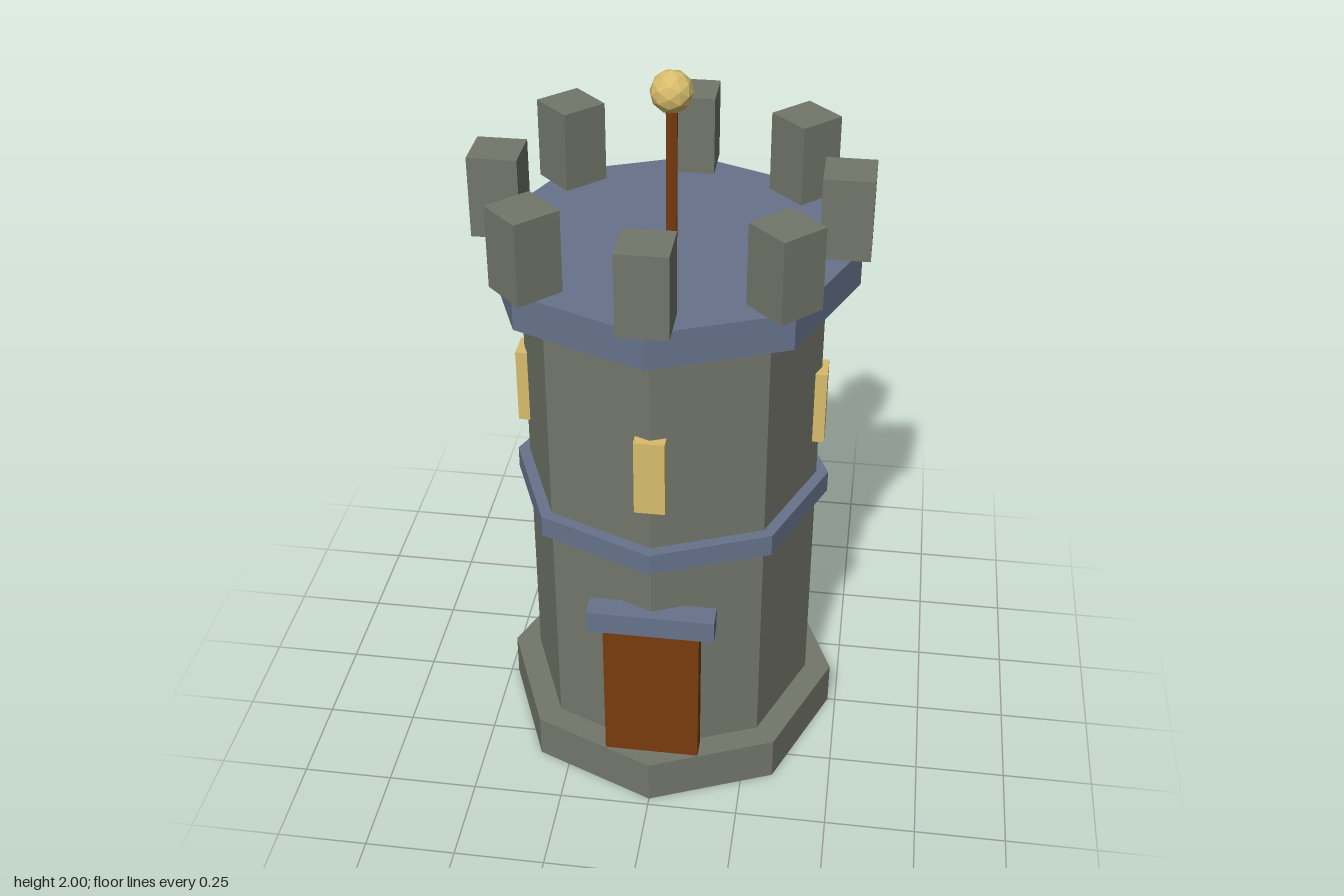
import * as THREE from 'three';

const paint = (name, color) => {
  const m = new THREE.MeshStandardMaterial({ color, flatShading: true });
  m.name = name;
  return m;
};

export function createModel() {
  const stone = paint('stone', 0x72766a);
  const slate = paint('slate', 0x67738c);
  const wood = paint('wood', 0x783c0e);
  const gold = paint('gold', 0xd8bc6c);

  const tower = new THREE.Group();
  tower.name = 'tower';

  const add = (name, geometry, material, x, y, z, turn = 0) => {
    const mesh = new THREE.Mesh(geometry, material);
    mesh.name = name;
    mesh.position.set(x, y, z);
    mesh.rotation.y = turn;
    tower.add(mesh);
    return mesh;
  };

  // Upright prism between two heights
  const prism = (name, radius, y0, y1, material, sides = 8) =>
    add(name, new THREE.CylinderGeometry(radius, radius, y1 - y0, sides), material, 0, (y0 + y1) / 2, 0);

  // Octagonal tiers
  prism('plinth', 0.478, 0, 0.13, stone);
  prism('wall', 0.404, 0.13, 1.432, stone);
  prism('middleBand', 0.437, 0.783, 0.845, slate);
  prism('eavesTrim', 0.42, 1.432, 1.445, wood);
  prism('roofDeck', 0.49, 1.445, 1.545, slate);

  // Battlements, one on each corner
  const merlon = new THREE.BoxGeometry(0.13, 0.22, 0.13);
  for (let i = 0; i < 8; i++) {
    const a = (i * Math.PI) / 4;
    add('merlon', merlon, stone, Math.sin(a) * 0.447, 1.655, Math.cos(a) * 0.447, a);
  }

  // Windows on four corners
  const pane = new THREE.BoxGeometry(0.08, 0.215, 0.032);
  for (let i = 0; i < 4; i++) {
    const a = (i * Math.PI) / 2;
    add('window', pane, gold, Math.sin(a) * 0.405, 1.078, Math.cos(a) * 0.405, a);
  }

  // Door and lintel
  add('door', new THREE.BoxGeometry(0.262, 0.436, 0.055), wood, 0, 0.348, 0.393);
  add('lintel', new THREE.BoxGeometry(0.345, 0.065, 0.065), slate, 0, 0.598, 0.4);

  // Flagpole and finial
  prism('flagpole', 0.016, 1.545, 1.92, wood, 6);
  add('finial', new THREE.IcosahedronGeometry(0.055, 1), gold, 0, 1.945, 0);

  return tower;
}
